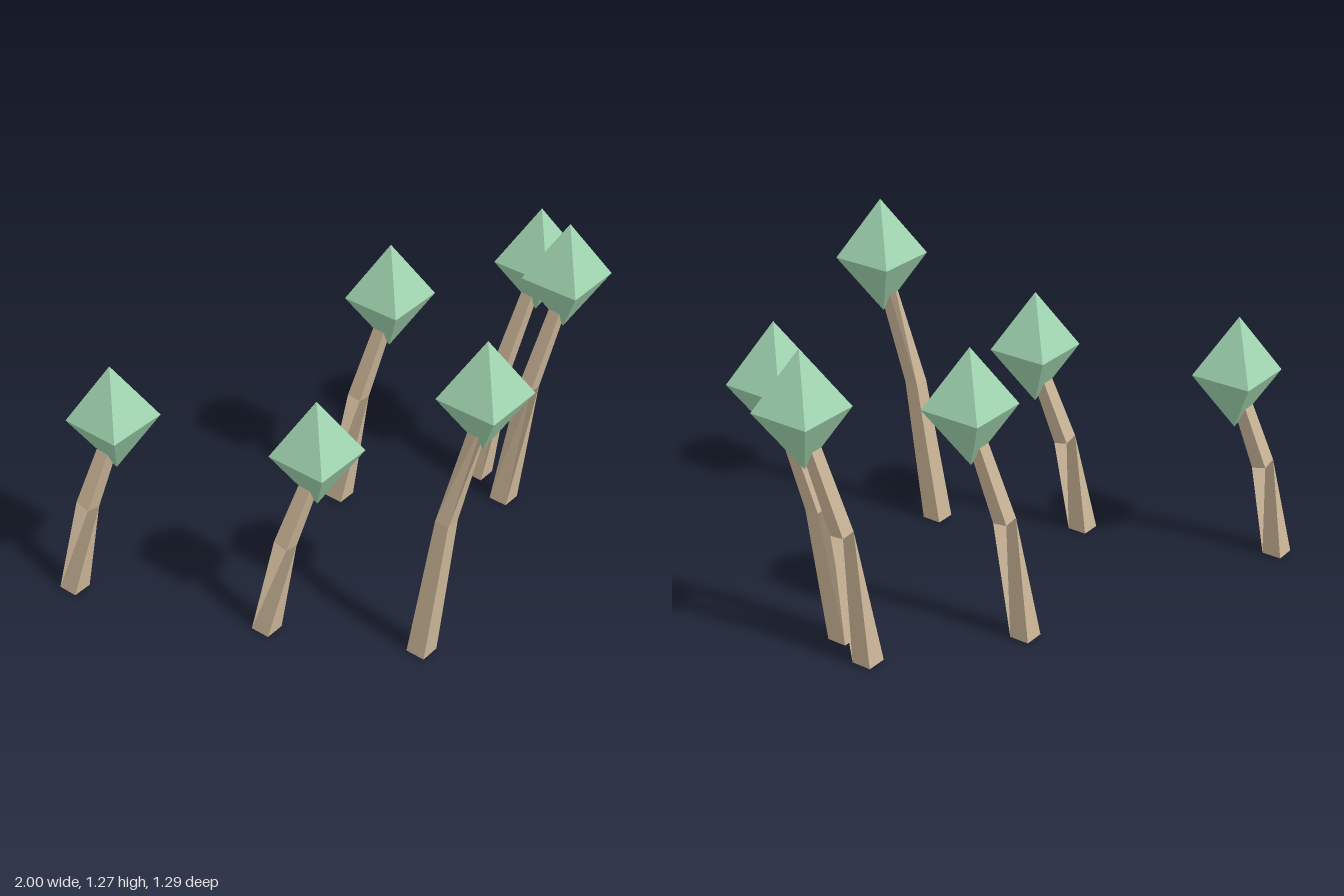
import * as THREE from 'three';

const foliage = new THREE.MeshStandardMaterial({ color: 0xa1d4b0 });
foliage.name = 'mint foliage';
const bark = new THREE.MeshStandardMaterial({ color: 0xcdb799 });
bark.name = 'tan bark';

const BASE_RADIUS = 0.052, MID_RADIUS = 0.038, TOP_RADIUS = 0.03;
const CROWN_RADIUS = 0.16, CROWN_HALF_HEIGHT = 0.21;
const LEAN_MID = 0.07, LEAN_TOP = 0.18;

// Diamond cross-section: left, front, right, back; tilted along x
function ring(x, y, radius, tilt = 0) {
  return [[-1, 0], [0, 1], [1, 0], [0, -1]].map(([dx, dz]) =>
    new THREE.Vector3(x + dx * radius, y - dx * radius * tilt, dz * radius));
}

// Four-sided bent trunk; a twist of 1 turns that section's facets by one corner
function trunkGeometry(rings, twists) {
  const positions = [], normals = [];
  const quad = (a, b, c, d) => {
    const n = b.clone().sub(a).cross(d.clone().sub(a)).normalize();
    for (const p of [a, b, d, b, c, d]) {
      positions.push(p.x, p.y, p.z);
      normals.push(n.x, n.y, n.z);
    }
  };
  twists.forEach((twist, s) => {
    const low = rings[s], high = rings[s + 1];
    for (let k = 0; k < 4; k++) {
      quad(low[k], low[(k + 1) % 4], high[(k + 1 + twist) % 4], high[(k + twist) % 4]);
    }
  });
  // End caps
  const [l, f, r, b] = rings[0];
  quad(b, r, f, l);
  quad(...rings[rings.length - 1]);

  const geometry = new THREE.BufferGeometry();
  geometry.setAttribute('position', new THREE.Float32BufferAttribute(positions, 3));
  geometry.setAttribute('normal', new THREE.Float32BufferAttribute(normals, 3));
  return geometry;
}

// Tree leaning towards +x, with an eight-sided crown
function makeTree({ x, z, bend, crown, twists = [1, 0] }) {
  const tree = new THREE.Group();
  tree.name = 'tree';
  tree.position.set(x, 0, z);

  const tilt = Math.max(0, 1.1 * (1.05 - crown));
  const trunk = new THREE.Mesh(trunkGeometry([
    ring(0, 0, BASE_RADIUS),
    ring(LEAN_MID, bend, MID_RADIUS, tilt),
    ring(LEAN_TOP, crown - 0.05, TOP_RADIUS, tilt),
  ], twists), bark);
  trunk.name = 'trunk';

  const top = new THREE.Mesh(
    new THREE.OctahedronGeometry(1).scale(CROWN_RADIUS, CROWN_HALF_HEIGHT, CROWN_RADIUS), foliage);
  top.name = 'crown';
  top.position.set(LEAN_TOP, crown, 0);

  tree.add(trunk, top);
  return tree;
}

export function createModel() {
  const grove = new THREE.Group();
  grove.name = 'grove';
  const trees = [
    { x: -0.947, z: 0.02, bend: 0.365, crown: 0.73 },
    { x: -0.285, z: 0.312, bend: 0.37, crown: 0.745 },
    { x: 0.046, z: -0.407, bend: 0.45, crown: 0.875 },
    { x: 0.235, z: 0.483, bend: 0.563, crown: 1.06, twists: [0, 1] },
    { x: 0.588, z: -0.483, bend: 0.49, crown: 0.942 },
    { x: 0.656, z: -0.323, bend: 0.503, crown: 0.97 },
  ];
  trees.forEach((t) => grove.add(makeTree(t)));
  return grove;
}
